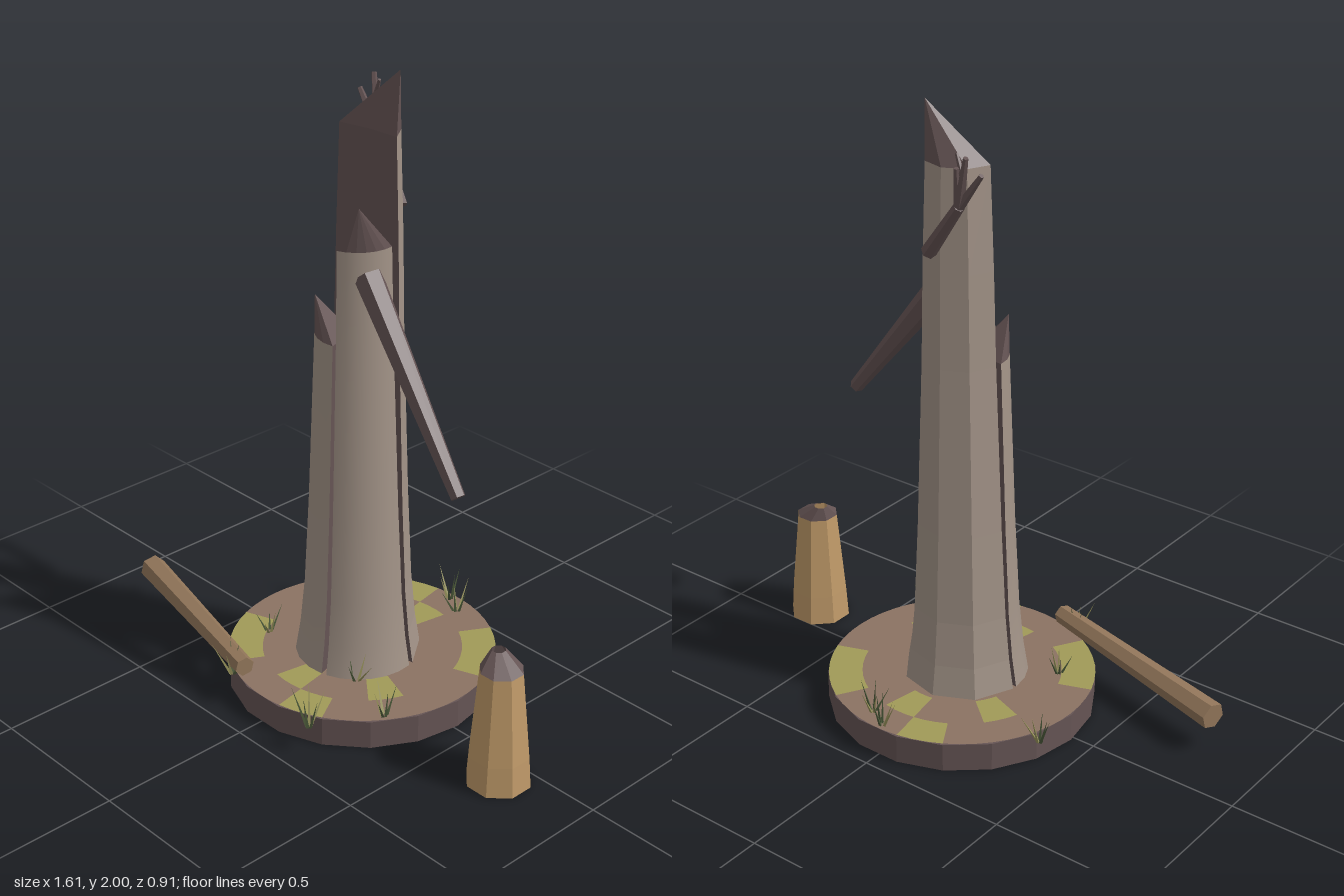
import * as THREE from 'three';
import { mergeGeometries } from 'three/addons/utils/BufferGeometryUtils.js';

const V = (x, y, z) => new THREE.Vector3(x, y, z);
const D = Math.PI / 180;

function mat(name, color, extra = {}) {
  const m = new THREE.MeshStandardMaterial({ color, ...extra });
  m.name = name;
  return m;
}

// Skin between rows of points; every row has the same count.
function loft(rows, smooth) {
  const n = rows[0].length, idx = [];
  const geo = new THREE.BufferGeometry().setFromPoints(rows.flat());
  for (let j = 0; j < rows.length - 1; j++) {
    for (let i = 0; i < n - 1; i++) {
      const a = j * n + i, b = a + 1, c = a + n, d = c + 1;
      idx.push(a, c, b, b, c, d);
    }
  }
  geo.setIndex(idx);
  const out = smooth ? geo : geo.toNonIndexed();
  out.computeVertexNormals();
  return out;
}

// Tapered stick between two points.
function stick(a, b, r0, r1, sides) {
  const dir = b.clone().sub(a);
  const g = new THREE.CylinderGeometry(r1, r0, dir.length(), sides);
  g.applyQuaternion(new THREE.Quaternion().setFromUnitVectors(V(0, 1, 0), dir.clone().normalize()));
  const mid = a.clone().add(b).multiplyScalar(0.5);
  return g.translate(mid.x, mid.y, mid.z);
}

export function createModel() {
  const flat = { flatShading: true };
  const dbl = { flatShading: true, side: THREE.DoubleSide };
  const bark = mat('weathered bark', 0xa39488);
  const dark = mat('dark wood', 0x655454, flat);
  const earth = mat('earth', 0x8b7262, flat);
  const moss = mat('moss', 0xa09a58, flat);
  const logWood = mat('log wood', 0x92765a, flat);
  const stumpWood = mat('stump wood', 0xc09a69, dbl);
  const stumpDark = mat('stump dark wood', 0x655454, dbl);
  const blade = mat('green grass', 0x4c5a3a, dbl);
  const dryBlade = mat('dry grass', 0x98945c, dbl);

  const model = new THREE.Group();
  const add = (parent, name, geo, material) => {
    const m = new THREE.Mesh(geo, material);
    m.name = name;
    parent.add(m);
    return m;
  };

  // Ground disc with mossy patches on a polar grid
  const ground = new THREE.Group();
  ground.name = 'ground';
  ground.position.set(0.005, 0, -0.015);
  model.add(ground);
  add(ground, 'groundSide', new THREE.CylinderGeometry(0.43, 0.43, 0.093, 18).rotateY(Math.PI / 2).translate(0, 0.0465, 0), dark);
  const patches = { earth: [], moss: [] };
  const rings = [[0, 0.2, []], [0.2, 0.32, [4, 7, 13, 16]], [0.32, 0.428, [1, 2, 5, 10, 11, 14]]];
  for (const [r0, r1, green] of rings) {
    for (let s = 0; s < 18; s++) {
      const g = new THREE.RingGeometry(r0, r1, 1, 1, s * 20 * D, 20 * D).rotateX(-Math.PI / 2).translate(0, 0.098, 0);
      patches[green.includes(s) ? 'moss' : 'earth'].push(g);
    }
  }
  add(ground, 'earthTop', mergeGeometries(patches.earth), earth);
  add(ground, 'mossPatches', mergeGeometries(patches.moss), moss);

  // Split trunk: three wedges of one flared column, each with a splintered tip
  const profile = [[0.095, 0.2], [0.2, 0.183], [0.35, 0.168], [0.65, 0.152], [1.2, 0.13], [1.5, 0.122], [1.82, 0.11]];
  function trunkPiece(name, from, to, segs, top, apex, shift, lean, smooth) {
    const piece = new THREE.Group();
    piece.name = name;
    model.add(piece);
    const mid = (from + to) / 2 * D;
    const arcs = [], inner = [];
    for (const [y, r] of profile.filter(p => p[0] <= top)) {
      const dz = lean * (y / top);
      const arc = [];
      for (let i = 0; i <= segs; i++) {
        const t = (from + (to - from) * i / segs) * D;
        arc.push(V(r * Math.cos(t), y, r * Math.sin(t) + dz));
      }
      arcs.push(arc);
      inner.push([arc[segs], V(shift * Math.cos(mid), y, shift * Math.sin(mid) + dz), arc[0]]);
    }
    add(piece, name + 'Bark', loft(arcs, smooth), bark);
    add(piece, name + 'Split', loft(inner, false), dark);
    const ring = [...arcs.at(-1), ...inner.at(-1).slice(1)];
    add(piece, name + 'Tip', loft([ring, ring.map(() => apex)], false), dark);
  }
  trunkPiece('backTrunk', 184, 344, 4, 1.82, V(0.07, 2, -0.1), 0.028, -0.022, false);
  trunkPiece('frontLeftTrunk', -11, 73, 6, 1.5, V(0.1, 1.64, 0.09), 0.018, 0, true);
  trunkPiece('frontRightTrunk', 78, 180, 6, 1.2, V(-0.09, 1.32, 0.09), 0.018, 0, true);

  // Drooping broken branch and the forked twig behind
  add(model, 'brokenBranch', stick(V(0.09, 1.42, 0.045), V(0.54, 0.895, 0.117), 0.046, 0.023, 6), dark);
  const fork = V(-0.13, 1.75, -0.2);
  const twigs = [stick(V(0.02, 1.565, -0.15), fork, 0.024, 0.017, 6)];
  for (const [x, y, z] of [[-0.215, 1.86, -0.21], [-0.18, 1.91, -0.235], [-0.14, 1.87, -0.225]]) {
    twigs.push(stick(fork, V(x, y, z), 0.016, 0.008, 5));
  }
  twigs.push(stick(V(-0.16, 1.84, -0.22), V(-0.125, 1.905, -0.205), 0.009, 0.005, 5));
  add(model, 'forkedTwig', mergeGeometries(twigs), dark);

  // Fallen log
  add(model, 'fallenLog', stick(V(-0.8, 0.126, 0.205), V(-0.1, 0.143, 0.39), 0.044, 0.032, 6), logWood);

  // Hollow stump, open at the bottom and at its crooked top
  const loop = (r, y, x, z) => Array.from({ length: 9 }, (_, i) => {
    const t = (i + 0.5) * 45 * D;
    return V(x + r * Math.cos(t), y, z + r * Math.sin(t));
  });
  const stump = new THREE.Group();
  stump.name = 'hollowStump';
  model.add(stump);
  const rim = loop(0.068, 0.385, 0.705, 0.09);
  add(stump, 'stumpWall', loft([loop(0.102, 0, 0.708, 0.092), loop(0.095, 0.1, 0.708, 0.092), rim], false), stumpWood);
  add(stump, 'stumpTop', loft([rim, loop(0.022, 0.43, 0.672, 0.07)], false), stumpDark);

  // Grass tufts: x, z, base height, blade height
  const tufts = [
    [0, -0.42, 0.09, 0.11], [0.07, -0.38, 0.09, 0.12], [-0.43, -0.19, 0.09, 0.1], [-0.26, 0.15, 0.09, 0.1],
    [-0.16, 0.39, 0.09, 0.11], [0.34, 0.21, 0.09, 0.12], [0.22, 0.41, 0.09, 0.14], [0.14, 0.14, 0.09, 0.11],
  ];
  const blades = [[], []];
  tufts.forEach(([x, z, y, h], k) => {
    for (let i = 0; i < 5; i++) {
      const t = k * 1.3 + i * 2.4, lean = 0.008 + 0.005 * i, hh = h * (1 - 0.1 * ((i * 2 + k) % 4));
      const g = new THREE.ConeGeometry(0.006, hh, 3, 1, true).translate(0, hh / 2, 0);
      g.applyMatrix4(new THREE.Matrix4().makeShear(0, 0, Math.cos(t) * lean / hh, Math.sin(t) * lean / hh, 0, 0));
      const p = g.attributes.position;
      // Bend each blade outward with height
      for (let v = 0; v < p.count; v++) {
        const f = p.getY(v) / hh;
        p.setX(v, p.getX(v) + Math.cos(t) * lean * f);
        p.setZ(v, p.getZ(v) + Math.sin(t) * lean * f);
      }
      blades[i % 3 === 1 ? 1 : 0].push(g.translate(x + Math.cos(t) * 0.006, y, z + Math.sin(t) * 0.006));
    }
  });
  add(model, 'grassBlades', mergeGeometries(blades[0]), blade);
  add(model, 'dryGrassBlades', mergeGeometries(blades[1]), dryBlade);

  return model;
}
